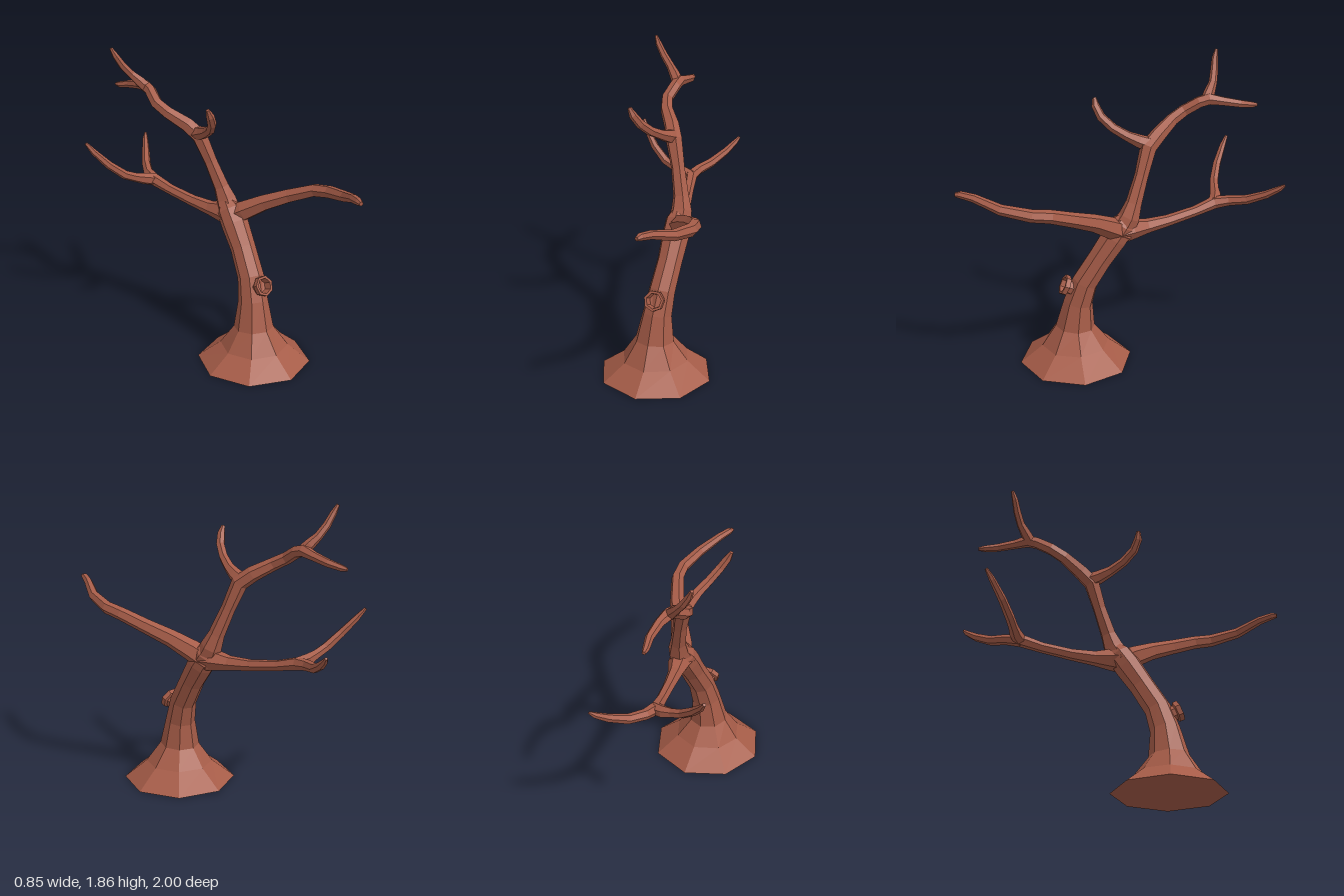
import * as THREE from 'three';

const bark = new THREE.MeshStandardMaterial({ color: 0xa65c48, flatShading: true });

// Sweeps a polygon along rings of [x, y, z, radius]; up = direction of the first ring
function limb(name, sides, rings, up) {
  const pts = rings.map(r => new THREE.Vector3(r[0], r[1], r[2]));
  const n = rings.length, pos = [], idx = [];
  const tangents = pts.map((p, i) => {
    const a = i ? p.clone().sub(pts[i - 1]).normalize() : new THREE.Vector3();
    const b = i < n - 1 ? pts[i + 1].clone().sub(p).normalize() : new THREE.Vector3();
    return a.add(b).normalize();
  });
  if (up) tangents[0].copy(up);
  // starting side vector, then carried along the path without twist
  const u = new THREE.Vector3(1, 0, 0);
  if (Math.abs(tangents[0].x) > 0.8) u.set(0, 1, 0);
  const v = new THREE.Vector3();
  pts.forEach((p, i) => {
    const t = tangents[i];
    if (i) u.applyQuaternion(new THREE.Quaternion().setFromUnitVectors(tangents[i - 1], t));
    u.addScaledVector(t, -u.dot(t)).normalize();
    v.crossVectors(t, u);
    for (let j = 0; j < sides; j++) {
      const a = j / sides * Math.PI * 2, r = rings[i][3];
      const q = p.clone().addScaledVector(u, r * Math.cos(a)).addScaledVector(v, r * Math.sin(a));
      pos.push(q.x, q.y, q.z);
    }
  });
  // end centres for the caps
  pos.push(...pts[0].toArray(), ...pts[n - 1].toArray());
  const c0 = n * sides, c1 = c0 + 1;
  for (let j = 0; j < sides; j++) {
    const k = (j + 1) % sides;
    for (let i = 0; i < n - 1; i++) {
      const a = i * sides + j, b = i * sides + k;
      idx.push(a, b, b + sides, a, b + sides, a + sides);
    }
    idx.push(c0, k, j, c1, (n - 1) * sides + j, (n - 1) * sides + k);
  }
  const g = new THREE.BufferGeometry();
  g.setAttribute('position', new THREE.Float32BufferAttribute(pos, 3));
  g.setIndex(idx);
  g.computeVertexNormals();
  const mesh = new THREE.Mesh(g, bark);
  mesh.name = name;
  return mesh;
}

export function createModel() {
  const tree = new THREE.Group();
  tree.name = 'bareTree';

  // Leaning trunk with flared foot
  tree.add(limb('trunk', 8, [
    [0.065, 0, 0.285, 0.35], [0.065, 0.11, 0.287, 0.21], [0.06, 0.23, 0.287, 0.123],
    [0.07, 0.4, 0.267, 0.092], [0.085, 0.54, 0.225, 0.082], [0.1, 0.7, 0.13, 0.078],
    [0.105, 0.83, 0.045, 0.085], [0.105, 0.91, -0.01, 0.08], [0.1, 0.96, -0.04, 0.045]
  ], new THREE.Vector3(0, 1, 0)));

  // Long limb reaching forward
  tree.add(limb('frontLimb', 6, [
    [0.1, 0.85, -0.02, 0.07], [0.15, 0.915, 0.08, 0.066], [0.22, 0.985, 0.19, 0.054],
    [0.3, 1.05, 0.32, 0.046], [0.37, 1.115, 0.47, 0.041], [0.385, 1.135, 0.58, 0.039],
    [0.345, 1.17, 0.75, 0.033], [0.27, 1.222, 0.89, 0.026], [0.235, 1.236, 0.965, 0.022],
    [0.225, 1.235, 0.995, 0.013]
  ]));

  // Long limb reaching back, ending in a rising tip
  tree.add(limb('backLimb', 6, [
    [0.11, 0.87, 0.03, 0.08], [0.1, 0.875, -0.06, 0.068], [0.075, 0.873, -0.16, 0.046],
    [0.045, 0.885, -0.3, 0.036], [0.005, 0.915, -0.48, 0.033], [-0.025, 0.95, -0.61, 0.04],
    [-0.005, 0.965, -0.7, 0.033], [0.05, 0.985, -0.8, 0.03], [0.12, 1.04, -0.9, 0.025],
    [0.165, 1.09, -0.965, 0.018], [0.185, 1.118, -0.99, 0.009]
  ]));
  tree.add(limb('backSideBranch', 6, [
    [-0.02, 0.95, -0.61, 0.04], [-0.09, 0.966, -0.635, 0.038], [-0.15, 0.985, -0.645, 0.03],
    [-0.22, 1.015, -0.66, 0.029], [-0.31, 1.09, -0.7, 0.026], [-0.385, 1.18, -0.755, 0.02],
    [-0.42, 1.237, -0.79, 0.01]
  ]));

  // Upright limb that bends backward
  tree.add(limb('upperLimb', 6, [
    [0.105, 0.86, 0.01, 0.08], [0.11, 0.96, -0.045, 0.066], [0.095, 1.04, -0.075, 0.05],
    [0.055, 1.2, -0.13, 0.043], [0.01, 1.36, -0.18, 0.052], [-0.03, 1.42, -0.25, 0.048],
    [-0.1, 1.485, -0.35, 0.04], [-0.125, 1.53, -0.43, 0.038], [-0.105, 1.585, -0.52, 0.037],
    [-0.1, 1.602, -0.58, 0.038], [-0.085, 1.588, -0.66, 0.029], [-0.085, 1.565, -0.77, 0.025],
    [-0.105, 1.547, -0.85, 0.02], [-0.11, 1.543, -0.885, 0.011]
  ]));
  tree.add(limb('upperTip', 6, [
    [-0.1, 1.59, -0.56, 0.036], [-0.135, 1.635, -0.59, 0.034], [-0.175, 1.68, -0.62, 0.026],
    [-0.225, 1.74, -0.64, 0.024], [-0.265, 1.805, -0.653, 0.02], [-0.288, 1.855, -0.668, 0.01]
  ]));
  tree.add(limb('hookedBranch', 6, [
    [0, 1.37, -0.2, 0.048], [-0.01, 1.395, -0.13, 0.042], [-0.03, 1.425, -0.06, 0.032],
    [-0.065, 1.47, 0.02, 0.029], [-0.105, 1.53, 0.085, 0.028], [-0.14, 1.59, 0.112, 0.025],
    [-0.162, 1.635, 0.115, 0.012]
  ]));

  // Hollow stub of a broken branch on the trunk front
  const profile = [[0.05, -0.11], [0.046, -0.035], [0.064, -0.03], [0.064, 0], [0.048, 0], [0.042, -0.05], [0, -0.055]];
  const stub = new THREE.Mesh(
    new THREE.LatheGeometry(profile.map(p => new THREE.Vector2(p[0], p[1])), 7), bark);
  stub.name = 'hollowStub';
  stub.position.set(0.08, 0.528, 0.362);
  stub.rotation.x = 1.13;
  tree.add(stub);

  return tree;
}
